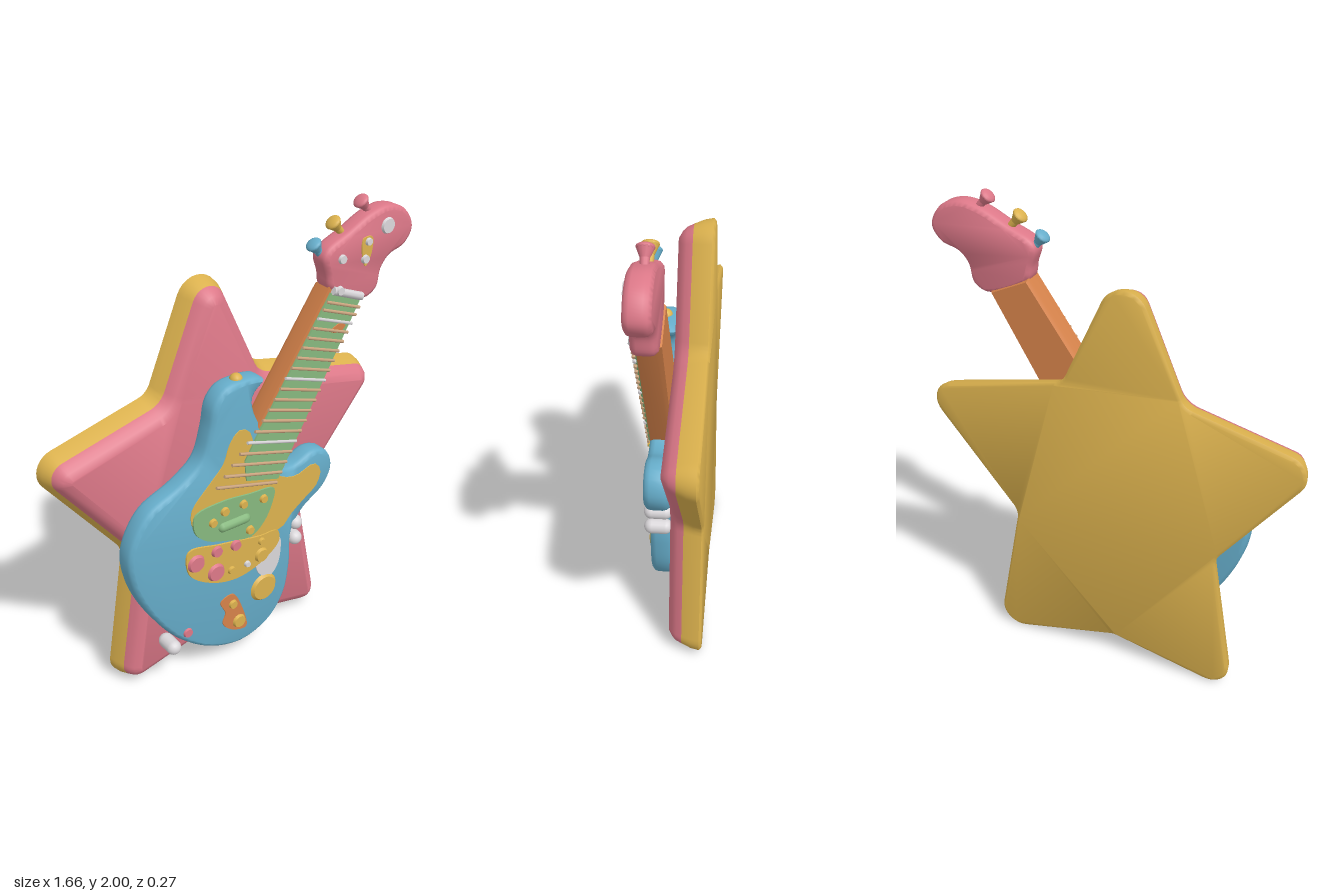
import * as THREE from 'three';
import { toCreasedNormals } from 'three/addons/utils/BufferGeometryUtils.js';

const mat = (name, color) => Object.assign(new THREE.MeshStandardMaterial({ color }), { name });
const V = (x, y) => new THREE.Vector2(x, y);

// Closed smooth outline through a few points
function smooth(pts, n = 100) {
  const c = new THREE.CatmullRomCurve3(pts.map(([x, y]) => new THREE.Vector3(x, y, 0)), true, 'centripetal');
  return c.getSpacedPoints(n).slice(0, n).map(p => V(p.x, p.y));
}

// Polygon whose corners [x, y, radius] are rounded by arcs
function rounded(corners, steps = 10) {
  const out = [], n = corners.length;
  corners.forEach(([x, y, r], i) => {
    const p = V(x, y), a = corners[(i + n - 1) % n], b = corners[(i + 1) % n];
    const u = V(a[0], a[1]).sub(p).normalize(), v = V(b[0], b[1]).sub(p).normalize();
    const half = Math.acos(u.dot(v)) / 2, t = r / Math.tan(half);
    const c = u.clone().add(v).normalize().multiplyScalar(r / Math.sin(half)).add(p);
    const s = u.multiplyScalar(t).add(p).sub(c), e = v.multiplyScalar(t).add(p).sub(c);
    const sweep = Math.atan2(s.cross(e), s.dot(e));
    for (let k = 0; k <= steps; k++) out.push(s.clone().rotateAround(V(0, 0), sweep * k / steps).add(c));
  });
  return out;
}

// Stack of inset copies of an outline; rings are [z, inset] from back to front
function loft(outline, rings, back = true, front = true) {
  const pts = THREE.ShapeUtils.isClockWise(outline) ? [...outline].reverse() : outline;
  const n = pts.length;
  const normals = pts.map((p, i) => {
    const d0 = p.clone().sub(pts[(i + n - 1) % n]).normalize();
    const d1 = pts[(i + 1) % n].clone().sub(p).normalize();
    const d = d0.add(d1).normalize();
    return V(-d.y, d.x);
  });
  const pos = [], idx = [];
  rings.forEach(([z, inset]) => pts.forEach((p, i) =>
    pos.push(p.x + normals[i].x * inset, p.y + normals[i].y * inset, z)));
  for (let r = 0; r < rings.length - 1; r++) for (let i = 0; i < n; i++) {
    const a = r * n + i, b = r * n + (i + 1) % n;
    idx.push(a, b, b + n, a, b + n, a + n);
  }
  const top = (rings.length - 1) * n;
  for (const [a, b, c] of THREE.ShapeUtils.triangulateShape(pts, [])) {
    if (back) idx.push(a, c, b);
    if (front) idx.push(top + a, top + b, top + c);
  }
  const g = new THREE.BufferGeometry();
  g.setAttribute('position', new THREE.Float32BufferAttribute(pos, 3));
  g.setIndex(idx);
  return toCreasedNormals(g, 0.8);
}

export function createModel() {
  const group = new THREE.Group();
  const pink = mat('pink', 0xdc7888), gold = mat('gold', 0xdcb24e), blue = mat('blue', 0x66adca);
  const green = mat('green', 0x86b87e), orange = mat('orange', 0xd5824a), white = mat('white', 0xdad7da);
  const tan = mat('tan', 0xcfa882);

  const add = (name, geo, m) => {
    const mesh = new THREE.Mesh(geo, m);
    mesh.name = name;
    group.add(mesh);
    return mesh;
  };
  const plate = (name, pts, z0, z1, m) => add(name, loft(smooth(pts, 60), [[z0, 0], [z1, 0.002]]), m);
  const rod = (name, a, b, r0, r1, m, sides = 8) => {
    const dir = b.clone().sub(a);
    const mesh = add(name, new THREE.CylinderGeometry(r1, r0, dir.length(), sides), m);
    mesh.position.copy(a).add(b).multiplyScalar(0.5);
    mesh.quaternion.setFromUnitVectors(new THREE.Vector3(0, 1, 0), dir.normalize());
    return mesh;
  };
  const P = (x, y, z) => new THREE.Vector3(x, y, z);

  // Star base: gold back and pink front
  const star = rounded([
    [-0.09, 1.92, 0.1], [-0.335, 1.335, 0.08], [-0.90, 1.19, 0.09], [-0.49, 0.66, 0.08], [-0.60, -0.02, 0.09],
    [-0.04, 0.11, 0.08], [0.54, -0.02, 0.09], [0.41, 0.65, 0.08], [0.85, 1.19, 0.09], [0.18, 1.335, 0.08]]);
  add('starBack', loft(star, [[-0.135, 0.012], [-0.125, 0], [-0.09, 0.007], [-0.05, 0.024]], true, false), gold);
  add('starFront', loft(star, [[-0.05, 0.024], [-0.025, 0.036], [-0.008, 0.052], [0.008, 0.08]], false, true), pink);

  // Guitar body
  const body = smooth([
    [-0.105, 1.375], [0, 1.385], [0.06, 1.378], [0.085, 1.358], [0.055, 1.335], [0.025, 1.30], [0.03, 1.24],
    [0.06, 1.17], [0.12, 1.02], [0.17, 0.92], [0.25, 0.905], [0.35, 0.94], [0.43, 0.915], [0.46, 0.83],
    [0.42, 0.745], [0.30, 0.66], [0.245, 0.57], [0.24, 0.41], [0.21, 0.25], [0.13, 0.14], [-0.015, 0.085],
    [-0.175, 0.12], [-0.335, 0.23], [-0.475, 0.41], [-0.57, 0.625], [-0.577, 0.78], [-0.49, 0.93],
    [-0.33, 1.01], [-0.23, 1.085], [-0.185, 1.21], [-0.16, 1.32]], 160);
  add('body', loft(body, [[0.005, 0.016], [0.015, 0.005], [0.03, 0], [0.08, 0], [0.095, 0.005], [0.105, 0.018]]), blue);

  // Neck and fretboard
  const poly = pts => pts.map(([x, y]) => V(x, y));
  add('neck', loft(poly([[0.395, 1.68], [-0.1, 0.95], [0.16, 0.88], [0.57, 1.60]]),
    [[0.012, 0.012], [0.03, 0], [0.104, 0]]), orange);
  add('fretboard', loft(poly([[0.395, 1.66], [0.04, 1.14], [-0.03, 1.03], [-0.02, 0.93], [0.15, 0.88], [0.555, 1.59]]),
    [[0.10, 0.004], [0.114, 0.004]]), green);

  // Frets, closer together towards the head
  for (let i = 0; i < 19; i++) {
    const t = 1 - Math.pow(1 - i / 18, 1.1), k = 0.36;
    const left = t < k ? P(-0.17, 0.955, 0).lerp(P(0.06, 1.19, 0), t / k)
      : P(0.06, 1.19, 0).lerp(P(0.375, 1.625, 0), (t - k) / (1 - k));
    const right = P(0.14, 0.87, 0).lerp(P(0.55, 1.56, 0), t);
    left.z = right.z = 0.115;
    rod('fret', left, right, 0.007, 0.007, i % 6 === 4 ? white : tan, 6);
  }
  rod('nut', P(0.405, 1.665, 0.112), P(0.56, 1.605, 0.112), 0.018, 0.018, white, 8);

  // Headstock
  const head = smooth([
    [0.395, 1.67], [0.38, 1.73], [0.36, 1.80], [0.38, 1.835], [0.485, 1.885], [0.60, 1.94], [0.70, 1.957],
    [0.79, 1.92], [0.83, 1.84], [0.79, 1.775], [0.71, 1.745], [0.67, 1.70], [0.65, 1.62], [0.60, 1.588], [0.56, 1.59]]);
  add('headstock', loft(head, [[0.018, 0.018], [0.03, 0.004], [0.045, 0], [0.09, 0], [0.104, 0.005], [0.113, 0.02]]), pink);
  plate('headPatch', [[0.55, 1.85], [0.60, 1.85], [0.60, 1.78], [0.57, 1.73], [0.55, 1.77]], 0.11, 0.116, gold);

  // Tuning pegs
  [[0.39, 1.79, 0.34, 1.855, blue], [0.49, 1.865, 0.435, 1.925, gold], [0.63, 1.925, 0.575, 1.985, pink]]
    .forEach(([x0, y0, x1, y1, m]) => {
      const a = P(x0, y0, 0.06), b = P(x1, y1, 0.06), mid = a.clone().lerp(b, 0.55);
      rod('pegStem', a, mid, 0.014, 0.017, m, 12);
      rod('pegHead', mid, b, 0.017, 0.033, m, 14);
      const cap = add('pegCap', new THREE.SphereGeometry(0.033, 14, 8), m);
      cap.position.copy(b);
      cap.scale.set(1, 0.45, 1);
      cap.quaternion.setFromUnitVectors(P(0, 1, 0), b.sub(a).normalize());
    });

  // Painted pickguard and raised panels
  plate('pickguard', [[-0.05, 1.18], [0, 1.16], [0.03, 1.08], [0.1, 0.96], [0.17, 0.885], [0.25, 0.86], [0.35, 0.885],
    [0.39, 0.84], [0.37, 0.77], [0.30, 0.72], [0.23, 0.67], [0.18, 0.62], [0.0, 0.64], [-0.2, 0.72], [-0.28, 0.79],
    [-0.29, 0.88], [-0.2, 0.98], [-0.13, 1.05], [-0.1, 1.13]], 0.1, 0.1075, gold);
  plate('pickupPanel', [[-0.275, 0.86], [-0.15, 0.88], [0, 0.865], [0.13, 0.845], [0.12, 0.77], [0.075, 0.69],
    [0.01, 0.645], [-0.12, 0.675], [-0.23, 0.72], [-0.28, 0.78]], 0.1, 0.114, green);
  plate('controlPanel', [[-0.31, 0.695], [-0.15, 0.67], [0.05, 0.63], [0.155, 0.62], [0.165, 0.56], [0.08, 0.49],
    [-0.06, 0.455], [-0.2, 0.49], [-0.31, 0.58]], 0.1, 0.112, gold);
  plate('whitePatch', [[0.04, 0.49], [0.1, 0.51], [0.17, 0.575], [0.165, 0.44], [0.12, 0.39], [0.06, 0.42]], 0.1, 0.109, white);
  plate('orangePatch', [[-0.15, 0.36], [-0.085, 0.38], [-0.03, 0.28], [-0.01, 0.165], [-0.085, 0.18], [-0.14, 0.24],
    [-0.125, 0.29]], 0.1, 0.109, orange);
  plate('neckPatch', [[0.40, 1.49], [0.44, 1.515], [0.48, 1.50], [0.45, 1.475]], 0.112, 0.117, orange);

  // Pickup bar
  const bar = add('pickupBar', new THREE.CapsuleGeometry(0.024, 0.115, 6, 12), green);
  bar.rotation.z = Math.PI / 2;
  bar.scale.x = 1;
  bar.position.set(-0.08, 0.752, 0.108);

  // Knobs and buttons: x, y, radius, base height, colour
  [[-0.19, 0.795, 0.02, 0.114, gold], [-0.13, 0.828, 0.021, 0.114, gold], [-0.035, 0.828, 0.02, 0.114, gold],
    [0.07, 0.815, 0.02, 0.114, gold], [0, 0.685, 0.021, 0.114, gold],
    [-0.275, 0.625, 0.042, 0.112, pink], [-0.17, 0.643, 0.027, 0.112, pink], [-0.073, 0.635, 0.026, 0.112, pink],
    [-0.175, 0.537, 0.043, 0.112, pink], [-0.095, 0.515, 0.019, 0.112, gold], [-0.012, 0.513, 0.015, 0.112, white],
    [0.065, 0.598, 0.018, 0.112, gold], [0.065, 0.527, 0.035, 0.112, gold], [0.085, 0.34, 0.07, 0.105, gold],
    [-0.085, 0.325, 0.022, 0.108, gold], [-0.052, 0.218, 0.034, 0.108, gold], [-0.32, 0.278, 0.024, 0.102, pink],
    [0.445, 1.788, 0.02, 0.112, white], [0.68, 1.878, 0.036, 0.11, white], [0.578, 1.833, 0.017, 0.114, white],
    [0.565, 1.763, 0.019, 0.114, white], [0.432, 1.662, 0.02, 0.122, white]]
    .forEach(([x, y, r, z, m]) => {
      const knob = add('knob', new THREE.CylinderGeometry(r * 0.82, r, 0.014, 24), m);
      knob.rotation.x = Math.PI / 2;
      knob.position.set(x, y, z + 0.006);
    });

  // Side pins beside the body
  [[0.265, 0.608], [0.265, 0.527], [-0.387, 0.223]].forEach(([x, y]) => {
    const pin = add('sidePin', new THREE.CapsuleGeometry(0.033, 0.055, 6, 16), white);
    pin.rotation.x = Math.PI / 2;
    pin.position.set(x, y, 0.065);
  });
  add('strapButton', new THREE.SphereGeometry(0.028, 16, 10), gold).position.set(-0.03, 1.378, 0.055);

  return group;
}
